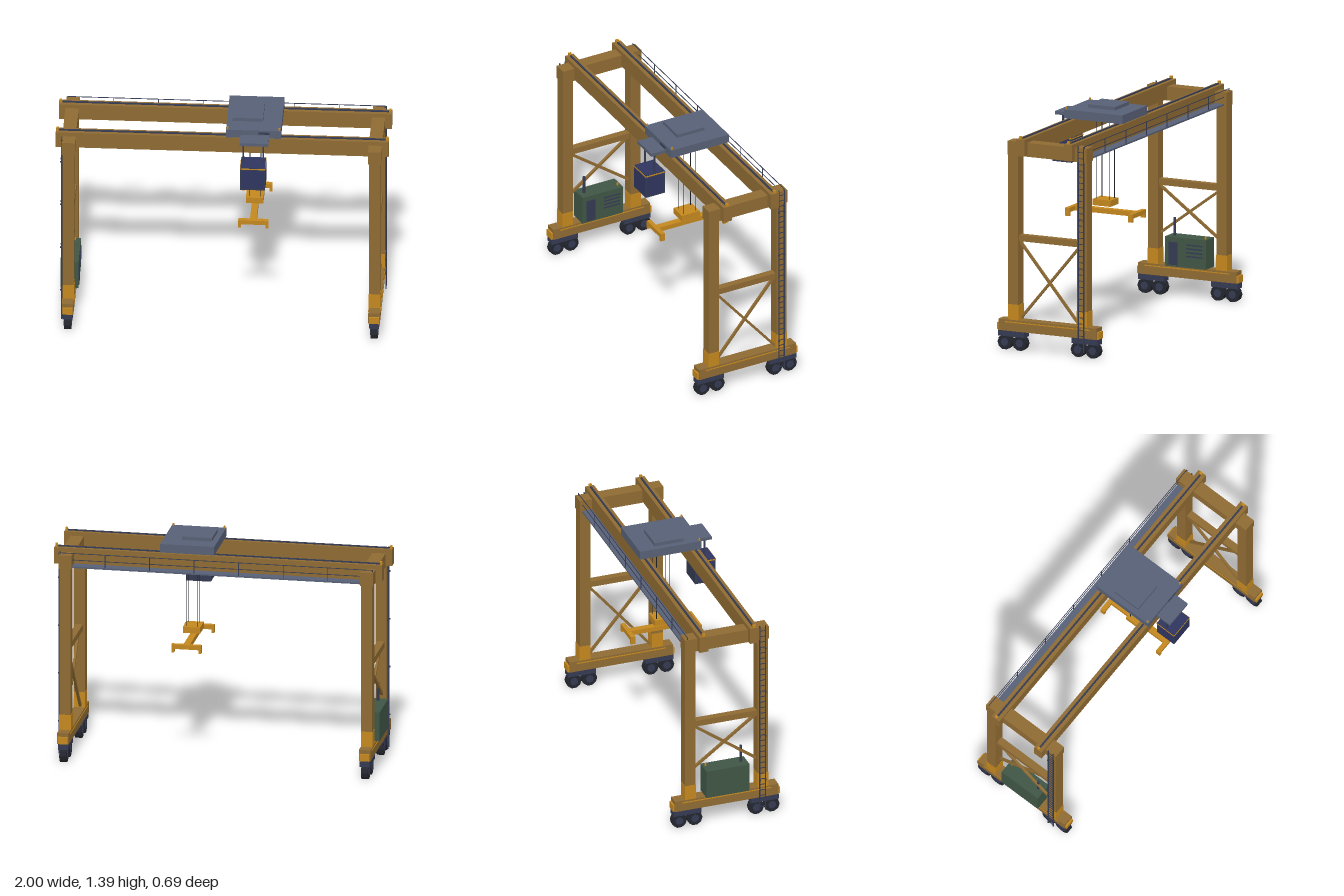
import * as THREE from 'three';

const mat = (name, color) => {
  const m = new THREE.MeshStandardMaterial({ color });
  m.name = name;
  return m;
};

export function createModel() {
  const brown = mat('ochre steel', 0x8f6b33);
  const amber = mat('amber paint', 0xc4881f);
  const slate = mat('slate blue', 0x576075);
  const navy = mat('dark navy', 0x343a52);
  const glass = mat('cab glass', 0x2f3560);
  const tyre = mat('tyre rubber', 0x23262e);
  const green = mat('generator green', 0x3f5645);
  const cable = mat('cable black', 0x1e2027);

  const root = new THREE.Group();
  root.name = 'gantryCrane';

  const group = (name, parent = root) => {
    const g = new THREE.Group();
    g.name = name;
    parent.add(g);
    return g;
  };
  const add = (parent, name, geo, m, x, y, z) => {
    const mesh = new THREE.Mesh(geo, m);
    mesh.name = name;
    mesh.position.set(x, y, z);
    parent.add(mesh);
    return mesh;
  };
  // Box given by its minimum and maximum on each axis
  const box = (parent, name, m, x0, x1, y0, y1, z0, z1) =>
    add(parent, name, new THREE.BoxGeometry(x1 - x0, y1 - y0, z1 - z0), m,
      (x0 + x1) / 2, (y0 + y1) / 2, (z0 + z1) / 2);
  // Square bar between two points
  const bar = (parent, name, m, a, b, t) => {
    const dir = b.clone().sub(a);
    const mid = a.clone().add(b).multiplyScalar(0.5);
    const mesh = add(parent, name, new THREE.BoxGeometry(t, t, dir.length()), m, mid.x, mid.y, mid.z);
    mesh.lookAt(b);
    return mesh;
  };

  const LEG_X = 0.92, LEG_Z = 0.231, LEG_HALF = 0.034;

  // Wheel bogies: a beam with two wheels
  const tyreGeo = new THREE.CylinderGeometry(0.047, 0.047, 0.042, 10).toNonIndexed();
  const hubGeo = new THREE.CylinderGeometry(0.025, 0.025, 0.048, 8).toNonIndexed();
  for (const g of [tyreGeo, hubGeo]) {
    g.rotateZ(Math.PI / 2);
    g.computeVertexNormals();
  }
  const bogie = (parent, x, s) => {
    const g = group('bogie', parent);
    box(g, 'bogieBeam', navy, x - 0.03, x + 0.03, 0.085, 0.12, s * 0.247 - 0.088, s * 0.247 + 0.088);
    for (const z of [0.196, 0.296]) {
      add(g, 'tyre', tyreGeo, tyre, x, 0.047, s * z);
      add(g, 'hub', hubGeo, navy, x, 0.047, s * z);
    }
  };

  // Side frames: sill, legs, top beam, tie and bracing
  for (const side of [-1, 1]) {
    const x = side * LEG_X;
    const frame = group('sideFrame');
    box(frame, 'sillBeam', brown, x - 0.035, x + 0.035, 0.12, 0.19, -0.33, 0.33);
    for (const f of [-1, 1])
      box(frame, 'sillStripe', amber, x + f * 0.036 - 0.002, x + f * 0.036 + 0.002, 0.172, 0.178, -0.285, 0.285);
    box(frame, 'topBeam', brown, x - 0.04, x + 0.04, 1.2, 1.285, -0.267, 0.267);
    box(frame, 'tieBeam', brown, x - 0.022, x + 0.022, 0.674, 0.712, -0.2, 0.2);
    for (const s of [-1, 1]) {
      const z = s * LEG_Z;
      box(frame, 'leg', brown, x - LEG_HALF, x + LEG_HALF, 0.19, 1.2, z - LEG_HALF, z + LEG_HALF);
      box(frame, 'legGuard', amber, x - 0.0355, x + 0.0355, 0.19, 0.285, z - 0.0355, z + 0.0355);
      box(frame, 'bumper', amber, x - 0.03, x + 0.03, 0.122, 0.166, s * 0.335 - 0.006, s * 0.335 + 0.006);
      bogie(frame, x, s);
      // The braces stay higher on the generator side
      const low = side < 0 ? 0.38 : 0.2;
      bar(frame, 'brace', brown, new THREE.Vector3(x + s * 0.006, low, -s * 0.197),
        new THREE.Vector3(x + s * 0.006, 0.67, s * 0.197), 0.015);
    }
  }

  // Ladders on diagonally opposite legs
  for (const side of [-1, 1]) {
    const g = group('ladder');
    const x = side * 0.96, zc = -side * 0.228;
    for (const s of [-1, 1]) {
      const z = zc + s * 0.018;
      box(g, 'ladderRail', navy, x - 0.003, x + 0.003, 0.035, 1.295, z - 0.003, z + 0.003);
      for (const y of [0.24, 0.54, 0.84, 1.14])
        box(g, 'ladderBracket', navy, x - 0.009, x + 0.005, y - 0.004, y + 0.004, z - 0.004, z + 0.004);
    }
    for (let i = 0; i < 33; i++) {
      const y = 0.06 + i * 0.0375;
      box(g, 'rung', navy, x - 0.002, x + 0.002, y - 0.002, y + 0.002, zc - 0.018, zc + 0.018);
    }
  }

  // Main girders with trolley rails and end stops
  for (const s of [-1, 1]) {
    const g = group('girder'), z = s * 0.161;
    box(g, 'girderBeam', brown, -1, 1, 1.208, 1.31, z - 0.028, z + 0.028);
    box(g, 'trolleyRail', navy, -0.98, 0.98, 1.31, 1.317, z - 0.005, z + 0.005);
    for (const e of [-1, 1])
      box(g, 'endStop', amber, e * 0.99 - 0.007, e * 0.99 + 0.007, 1.31, 1.328, z - 0.009, z + 0.009);
  }

  // Rear walkway with handrail
  const walk = group('walkway');
  box(walk, 'walkwayDeck', slate, -0.95, 0.95, 1.205, 1.215, -0.25, -0.187);
  for (const y of [1.255, 1.296])
    box(walk, 'handrail', navy, -0.955, 0.955, y - 0.0018, y + 0.0018, -0.25, -0.2464);
  for (let i = 0; i < 8; i++) {
    const x = -0.952 + i * 0.272;
    box(walk, 'railPost', navy, x - 0.002, x + 0.002, 1.215, 1.296, -0.25, -0.246);
  }

  // Generator on the sill of one side
  const gen = group('generator');
  box(gen, 'generatorHousing', green, -0.975, -0.866, 0.19, 0.37, -0.135, 0.14);
  box(gen, 'generatorDoor', navy, -0.867, -0.862, 0.2, 0.34, 0.055, 0.115);
  for (let i = 0; i < 4; i++) {
    const y = 0.26 + i * 0.0235;
    box(gen, 'louvre', navy, -0.867, -0.862, y - 0.004, y + 0.004, -0.113, -0.005);
  }
  add(gen, 'exhaust', new THREE.CylinderGeometry(0.008, 0.008, 0.11, 10), navy, -0.92, 0.425, 0.102);
  add(gen, 'generatorBeacon', new THREE.CylinderGeometry(0.006, 0.006, 0.014, 8), amber, -0.9, 0.377, -0.115);

  // Trolley with hatch and beacons
  const trolley = group('trolley');
  box(trolley, 'trolleyDeck', slate, 0.023, 0.353, 1.317, 1.37, -0.196, 0.197);
  box(trolley, 'machineryHatch', slate, 0.057, 0.24, 1.37, 1.391, -0.09, 0.093);
  box(trolley, 'frontVent', navy, 0.218, 0.285, 1.345, 1.358, 0.196, 0.2);
  for (const x of [0.032, 0.344])
    add(trolley, 'trolleyBeacon', new THREE.CylinderGeometry(0.006, 0.006, 0.014, 8), amber, x, 1.377, 0.186);

  // Operator cab hung in front of the trolley
  const cab = group('cab');
  box(cab, 'cabMount', slate, 0.11, 0.283, 1.318, 1.338, 0.197, 0.294);
  for (const x of [0.13, 0.25])
    box(cab, 'cabHanger', navy, x - 0.005, x + 0.005, 1.178, 1.32, 0.25, 0.26);
  box(cab, 'cabBody', navy, 0.116, 0.264, 1.027, 1.179, 0.19, 0.321);
  box(cab, 'cabTrim', amber, 0.1135, 0.2665, 1.17, 1.177, 0.1875, 0.3235);
  box(cab, 'frontWindow', glass, 0.122, 0.258, 1.04, 1.163, 0.32, 0.3235);
  box(cab, 'floorWindow', glass, 0.125, 0.255, 1.0245, 1.028, 0.22, 0.314);
  box(cab, 'roofPanel', glass, 0.118, 0.262, 1.178, 1.181, 0.192, 0.319);
  for (const x of [0.115, 0.265])
    box(cab, 'sideWindow', glass, x - 0.002, x + 0.002, 1.04, 1.163, 0.205, 0.314);

  // Hoist ropes, head block and spreader
  const hoist = group('hoist');
  for (const x of [0.155, 0.222])
    for (const z of [-0.042, 0.042])
      add(hoist, 'rope', new THREE.CylinderGeometry(0.002, 0.002, 0.51, 6), cable, x, 1.065, z);
  box(hoist, 'headBlock', amber, 0.135, 0.24, 0.776, 0.814, -0.06, 0.063);
  box(hoist, 'spreaderBeam', amber, 0.168, 0.208, 0.724, 0.753, -0.21, 0.21);
  for (const s of [-1, 1]) {
    const z = s * 0.212;
    box(hoist, 'spreaderEnd', amber, 0.098, 0.279, 0.725, 0.752, z - 0.014, z + 0.014);
    for (const x of [0.106, 0.271])
      box(hoist, 'spreaderFoot', amber, x - 0.008, x + 0.008, 0.702, 0.725, z - 0.014, z + 0.014);
  }

  return root;
}
